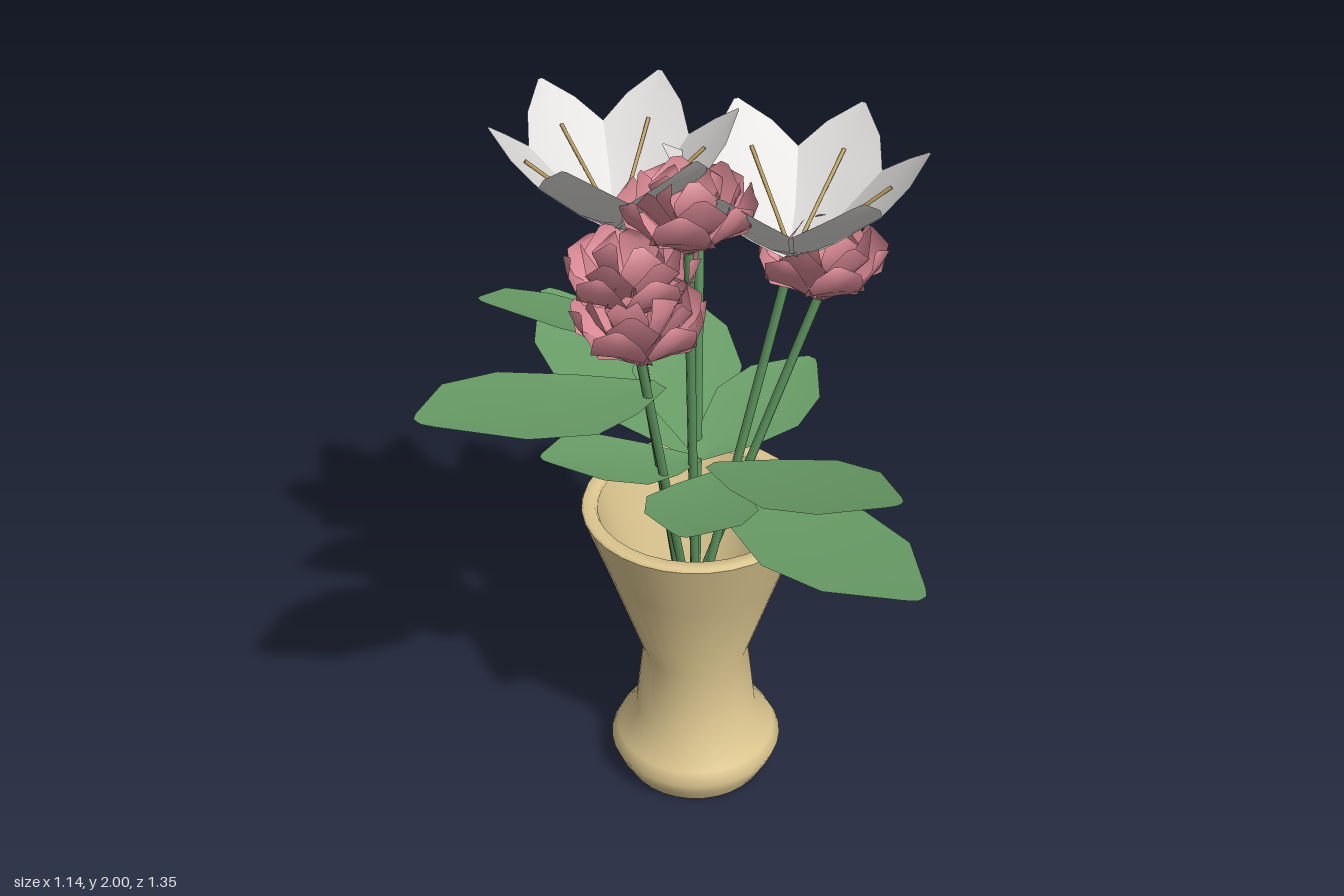
import * as THREE from 'three';

const mat = (name, color) => {
  const m = new THREE.MeshStandardMaterial({ color, side: THREE.DoubleSide });
  m.name = name;
  return m;
};

// Open blade along +x: each row is [distance, height, half width, edge lift]
function blade(rows) {
  const pos = [], index = [];
  rows.forEach(([r, y, w, lift = 0]) => {
    for (const s of [-1, 0, 1]) pos.push(r, y + Math.abs(s) * lift, s * w);
  });
  for (let i = 0; i < rows.length - 1; i++) {
    for (let j = 0; j < 2; j++) {
      const a = i * 3 + j, b = a + 1, c = a + 3, d = a + 4;
      index.push(a, b, c, b, d, c);
    }
  }
  const g = new THREE.BufferGeometry();
  g.setAttribute('position', new THREE.Float32BufferAttribute(pos, 3));
  g.setIndex(index);
  g.computeVertexNormals();
  return g;
}

function add(parent, name, geometry, material) {
  const m = new THREE.Mesh(geometry, material);
  m.name = name;
  parent.add(m);
  return m;
}

// Straight thin rod between two points
function rod(parent, name, from, to, radius, material) {
  const a = new THREE.Vector3(...from), b = new THREE.Vector3(...to);
  const d = b.clone().sub(a);
  const m = add(parent, name, new THREE.CylinderGeometry(radius, radius, d.length(), 8), material);
  m.position.copy(a).add(b).multiplyScalar(0.5);
  m.quaternion.setFromUnitVectors(new THREE.Vector3(0, 1, 0), d.normalize());
  return m;
}

// Ring of equal blades around the y axis
function ring(parent, name, geometry, material, count, start) {
  for (let i = 0; i < count; i++) {
    add(parent, name, geometry, material).rotation.y = -(start + (i * 2 * Math.PI) / count);
  }
}

export function createModel() {
  const model = new THREE.Group();
  model.name = 'flowerVase';
  const clay = mat('vaseClay', 0xdec891);
  const green = mat('leafGreen', 0x6a9e68);
  const stemGreen = mat('stemGreen', 0x5f9660);
  const white = mat('petalWhite', 0xdedddb);
  const pink = mat('petalPink', 0xd88893);
  const gold = mat('stamenGold', 0xb89a5c);

  // Vase: open foot, belly, waist and flared mouth, then the inner wall
  const vase = new THREE.Group();
  vase.name = 'vase';
  vase.position.set(-0.01, 0, -0.03);
  model.add(vase);
  const lathe = (pts) => new THREE.LatheGeometry(pts.map((p) => new THREE.Vector2(...p)), 32);
  add(vase, 'vaseBody', lathe([[0.2, 0], [0.222, 0.04], [0.24, 0.085], [0.222, 0.12], [0.168, 0.205],
    [0.145, 0.41], [0.238, 0.7], [0.285, 0.84], [0.3, 0.885]]), clay);
  add(vase, 'vaseRim', lathe([[0.3, 0.885], [0.295, 0.895], [0.265, 0.895], [0.258, 0.88]]), clay);
  add(vase, 'vaseInside', lathe([[0.258, 0.88], [0.215, 0.72], [0.135, 0.42]]), clay);

  // Large white flowers: six pointed petals with a stamen under each
  const whitePetal = blade([[0, 0, 0.025], [0.1, 0.065, 0.065, 0.01], [0.2, 0.16, 0.122, 0.015],
    [0.265, 0.225, 0.075, 0.008], [0.31, 0.285, 0.006]]);
  const whiteFlower = (x, y, z, start, size) => {
    const f = new THREE.Group();
    f.name = 'whiteFlower';
    f.position.set(x, y, z);
    f.scale.set(size, 1, size);
    model.add(f);
    ring(f, 'whitePetal', whitePetal, white, 6, start);
    for (let i = 0; i < 6; i++) {
      const a = start + (i * Math.PI) / 3, c = Math.cos(a), s = Math.sin(a);
      rod(f, 'stamen', [0.02 * c, 0.02, 0.02 * s], [0.225 * c, 0.195, 0.225 * s], 0.005, gold);
    }
  };
  whiteFlower(-0.19, 1.715, 0.02, 0.8, 0.93);
  whiteFlower(0.225, 1.63, -0.03, 0, 1);

  // Small pink flowers: three ruffled layers of petals
  const outerPetal = blade([[0, 0, 0.01], [0.07, 0.045, 0.045, 0.008], [0.125, 0.09, 0.075, -0.006],
    [0.152, 0.135, 0.055, 0.01], [0.14, 0.165, 0.008]]);
  const middlePetal = blade([[0, 0.01, 0.01], [0.06, 0.07, 0.045, 0.012], [0.105, 0.13, 0.065, 0.012],
    [0.115, 0.19, 0.012]]);
  const innerPetal = blade([[0.01, 0.02, 0.01], [0.05, 0.1, 0.045, 0.01], [0.075, 0.16, 0.05, 0.01],
    [0.05, 0.205, 0.012]]);
  const pinkFlower = (x, y, z, turn) => {
    const f = new THREE.Group();
    f.name = 'pinkFlower';
    f.position.set(x, y, z);
    f.rotation.y = turn;
    model.add(f);
    ring(f, 'outerPetal', outerPetal, pink, 7, 0);
    ring(f, 'middlePetal', middlePetal, pink, 6, 0.4);
    ring(f, 'innerPetal', innerPetal, pink, 5, 0.2);
  };
  pinkFlower(-0.01, 1.735, 0.16, 0.2);
  pinkFlower(-0.115, 1.5, 0.27, 0.9);
  pinkFlower(-0.14, 1.575, 0.18, 1.6);
  pinkFlower(0.295, 1.5, -0.06, 0.5);

  // Stems from inside the vase to each flower, plus one bare stem
  [
    [[-0.03, 0.45, -0.02], [-0.185, 1.73, 0.02]],
    [[-0.01, 0.5, -0.03], [0.225, 1.64, -0.03]],
    [[-0.04, 0.5, -0.03], [0.295, 1.52, -0.06]],
    [[-0.01, 0.5, -0.04], [-0.01, 1.75, 0.16]],
    [[-0.02, 0.5, -0.03], [-0.115, 1.52, 0.27]],
    [[-0.03, 0.5, 0], [-0.14, 1.6, 0.18]],
    [[-0.01, 0.5, -0.04], [-0.01, 1.72, -0.19]],
  ].forEach(([a, b]) => rod(model, 'stem', a, b, 0.012, stemGreen));

  // Broad leaves: base, tip, half width
  [
    [[-0.08, 1.36, 0.14], [-0.555, 1.575, 0.66], 0.18],
    [[-0.06, 1.38, -0.08], [-0.475, 1.665, 0.29], 0.14],
    [[-0.02, 1.02, -0.06], [-0.485, 1.15, -0.66], 0.17],
    [[0, 1.02, -0.06], [-0.115, 1.15, -0.68], 0.15],
    [[0, 1.03, -0.03], [0.28, 1.12, -0.4], 0.14],
    [[0.05, 1.02, 0.06], [0.56, 1.09, 0.58], 0.17],
    [[0.03, 1.03, 0], [0.505, 1.21, 0.38], 0.14],
    [[0.06, 1.03, 0.03], [0, 1.16, 0.48], 0.14],
    [[0, 1.05, 0], [-0.36, 1.21, 0.26], 0.13],
  ].forEach(([a, b, w]) => {
    const dx = b[0] - a[0], dy = b[1] - a[1], dz = b[2] - a[2];
    const len = Math.hypot(dx, dz);
    const rows = [[0, 0.12], [0.25, 0.65], [0.5, 1], [0.75, 0.85], [0.97, 0.2], [1, 0.08]]
      .map(([t, k]) => [t * len, t * dy - 0.015 * Math.sin(Math.PI * t), w * k, 0.015 * k]);
    const leaf = add(model, 'leaf', blade(rows), green);
    leaf.position.set(...a);
    leaf.rotation.y = -Math.atan2(dz, dx);
  });
  return model;
}
